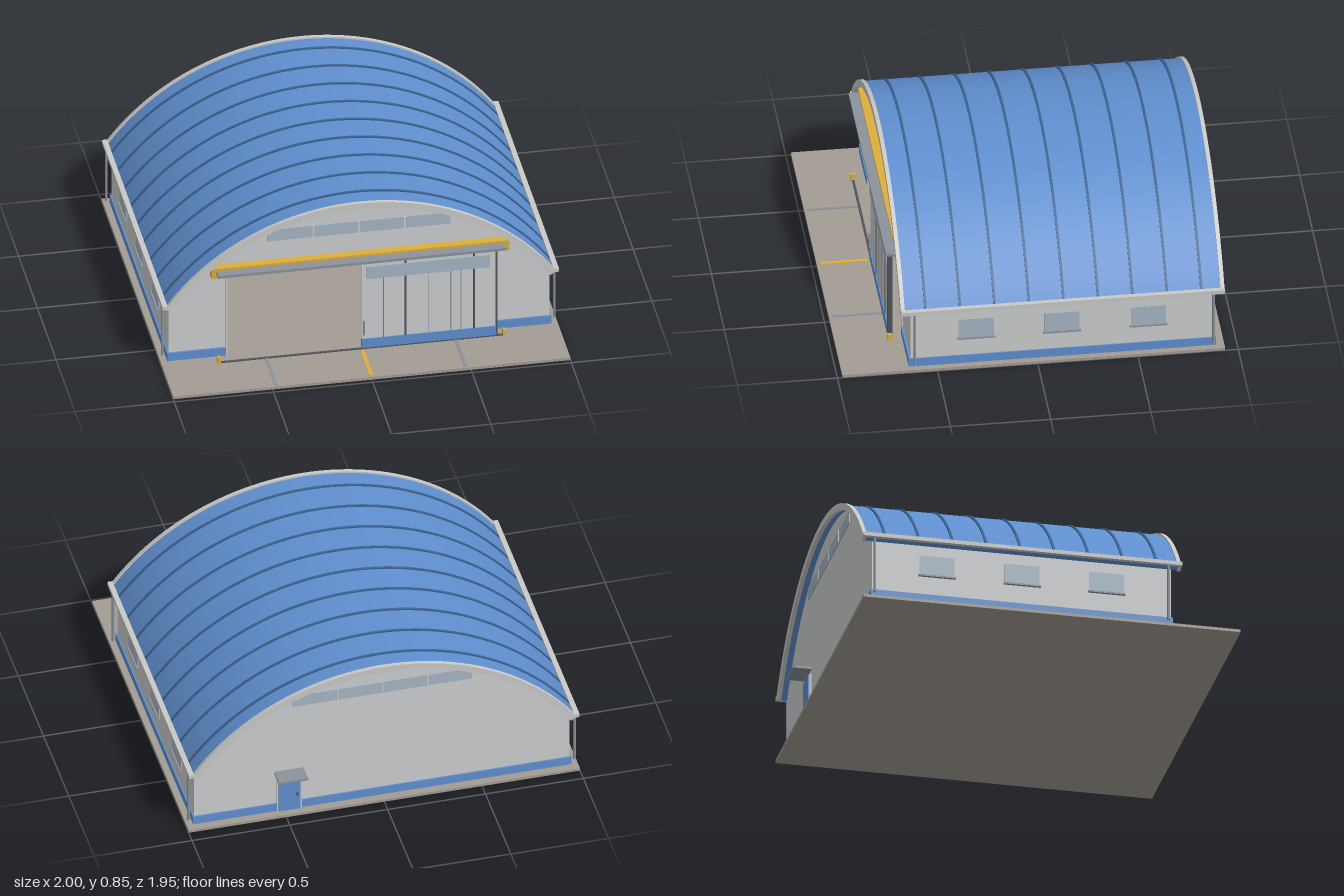
import * as THREE from 'three';
import { toCreasedNormals } from 'three/addons/utils/BufferGeometryUtils.js';

const mat = (name, color) => new THREE.MeshStandardMaterial({ name, color });

export function createModel() {
  const hangar = new THREE.Group();
  hangar.name = 'hangar';

  const wall = mat('wall grey', 0xcccdce);
  const blue = mat('roof blue', 0x5f8fcf);
  const ribBlue = mat('seam blue', 0x3d6291);
  const trim = mat('trim grey', 0xc9c9c8);
  const glass = mat('glass', 0xa6b6c4);
  const concrete = mat('concrete', 0xa39c94);
  const yellow = mat('safety yellow', 0xdcae3c);
  const steel = mat('steel', 0x8b929a);
  const dark = mat('dark steel', 0x4f555c);

  const add = (name, geometry, material) => {
    const mesh = new THREE.Mesh(geometry, material);
    mesh.name = name;
    hangar.add(mesh);
    return mesh;
  };
  // box given by its extents on each axis
  const box = (name, material, x0, x1, y0, y1, z0, z1) => {
    const m = add(name, new THREE.BoxGeometry(x1 - x0, y1 - y0, z1 - z0), material);
    m.position.set((x0 + x1) / 2, (y0 + y1) / 2, (z0 + z1) / 2);
    return m;
  };
  const extrude = (name, shape, material, z0, z1) => {
    const g = new THREE.ExtrudeGeometry(shape, { depth: z1 - z0, bevelEnabled: false, curveSegments: 48 });
    return add(name, toCreasedNormals(g.translate(0, 0, z0), 0.5), material);
  };

  // barrel roof: concentric arcs about a point below the ground
  const CY = -0.365, HALF = 0.948;
  const a0 = Math.PI / 2 - HALF, a1 = Math.PI / 2 + HALF;
  const arcBand = (name, material, outer, inner, z0, z1) => {
    const s = new THREE.Shape();
    s.absarc(0, CY, outer, a0, a1, false);
    s.absarc(0, CY, inner, a1, a0, true);
    s.closePath();
    return extrude(name, s, material, z0, z1);
  };
  arcBand('roof', blue, 1.202, 1.182, -0.92, 0.665);
  arcBand('frontRoofTrim', trim, 1.21, 1.176, 0.66, 0.68);
  arcBand('backRoofTrim', trim, 1.21, 1.176, -0.935, -0.915);
  for (let i = 0; i < 9; i++) {
    const z = -0.82 + i * 0.172;
    arcBand('roofSeam', ribBlue, 1.209, 1.2, z - 0.006, z + 0.006);
  }

  // ground slab and apron markings
  const Y0 = 0.015;
  box('slab', concrete, -1, 1, 0, Y0, -0.935, 0.975);
  box('apronCentreLine', yellow, -0.01, 0.01, Y0, 0.018, 0.72, 0.96);
  for (const x of [-0.48, 0.475]) box('apronJoint', steel, x - 0.008, x + 0.008, Y0, 0.018, 0.7, 0.96);
  box('floorRail', dark, -0.72, 0.72, Y0, 0.02, 0.695, 0.707);

  // gable walls, the front one with a wide doorway
  const W = 0.96, OPEN = 0.67, R = 1.184;
  const gable = (doorway) => {
    const s = new THREE.Shape();
    s.moveTo(-W, Y0);
    if (doorway) {
      s.lineTo(-OPEN, Y0);
      s.lineTo(-OPEN, 0.5);
      s.lineTo(OPEN, 0.5);
      s.lineTo(OPEN, Y0);
    }
    s.lineTo(W, Y0);
    const a = Math.acos(W / R);
    s.absarc(0, CY, R, a, Math.PI - a, false);
    s.closePath();
    return s;
  };
  extrude('frontWall', gable(true), wall, 0.61, 0.63);
  extrude('backWall', gable(false), wall, -0.885, -0.865);

  // gable window strips
  for (const [z, d] of [[0.63, 1], [-0.885, -1]]) {
    const strip = (name, m, x0, x1, y0, y1, t) =>
      box(name, m, x0, x1, y0, y1, Math.min(z, z + d * t), Math.max(z, z + d * t));
    strip('gableWindow', glass, -0.46, 0.46, 0.65, 0.715, 0.006);
    for (const x of [-0.23, 0, 0.23]) strip('gableMullion', trim, x - 0.005, x + 0.005, 0.65, 0.715, 0.009);
  }

  // blue plinths at the ends
  box('backPlinth', blue, -0.965, 0.965, Y0, 0.06, -0.893, -0.86);
  for (const s of [-1, 1]) {
    const m = (name, material, x0, x1, y0, y1, z0, z1) =>
      box(name, material, Math.min(s * x0, s * x1), Math.max(s * x0, s * x1), y0, y1, z0, z1);
    m('frontPlinth', blue, OPEN, 0.965, Y0, 0.06, 0.605, 0.64);
    // long walls with plinth, windows and sills
    m('sideWall', wall, 0.94, W, Y0, 0.335, -0.885, 0.63);
    m('sidePlinth', blue, 0.935, 0.967, Y0, 0.06, -0.893, 0.64);
    for (const z of [0.303, -0.125, -0.557]) {
      m('sideWindow', glass, 0.937, 0.964, 0.165, 0.27, z - 0.088, z + 0.088);
      m('windowSill', steel, 0.95, 0.974, 0.157, 0.165, z - 0.094, z + 0.094);
    }
    // gutter and downspouts
    m('gutter', trim, 0.972, 0.998, 0.336, 0.356, -0.935, 0.68);
    for (const z of [0.612, -0.878]) {
      const pipe = add('downspout', new THREE.CylinderGeometry(0.007, 0.007, 0.305, 10), steel);
      pipe.position.set(s * 0.987, 0.19, z);
    }
    // door jambs and wheel stops
    m('doorJamb', trim, OPEN - 0.008, OPEN + 0.004, Y0, 0.5, 0.605, 0.636);
    m('wheelStop', yellow, 0.71, 0.725, Y0, 0.05, 0.69, 0.715);
  }

  // lintel and hanging rail over the doorway
  box('lintel', yellow, -0.75, 0.75, 0.485, 0.542, 0.63, 0.672);
  box('doorRail', steel, -0.725, 0.725, 0.515, 0.53, 0.672, 0.722);

  // closed sliding door leaf
  box('slidingDoor', wall, 0, 0.68, 0.025, 0.515, 0.685, 0.705);
  box('doorKickPlate', blue, 0, 0.674, 0.025, 0.075, 0.683, 0.711);
  box('doorWindow', glass, 0.025, 0.645, 0.422, 0.492, 0.681, 0.713);
  box('doorEdge', dark, 0.674, 0.684, 0.025, 0.515, 0.684, 0.71);
  for (const x of [0.22, 0.565]) box('doorSeam', dark, x - 0.004, x + 0.004, 0.075, 0.51, 0.705, 0.709);
  for (const x of [0.11, 0.335, 0.45, 0.5]) box('doorRib', steel, x - 0.002, x + 0.002, 0.075, 0.422, 0.705, 0.708);
  box('doorHandle', steel, 0.006, 0.014, 0.1, 0.18, 0.705, 0.716);

  // rear entrance with canopy
  box('rearDoorFrame', trim, 0.412, 0.538, Y0, 0.225, -0.895, -0.884);
  box('rearDoor', blue, 0.42, 0.53, Y0, 0.217, -0.9, -0.89);
  box('rearDoorHandle', dark, 0.432, 0.44, 0.1, 0.12, -0.906, -0.9);
  box('rearCanopy', steel, 0.4, 0.55, 0.245, 0.257, -0.978, -0.885);

  return hangar;
}
